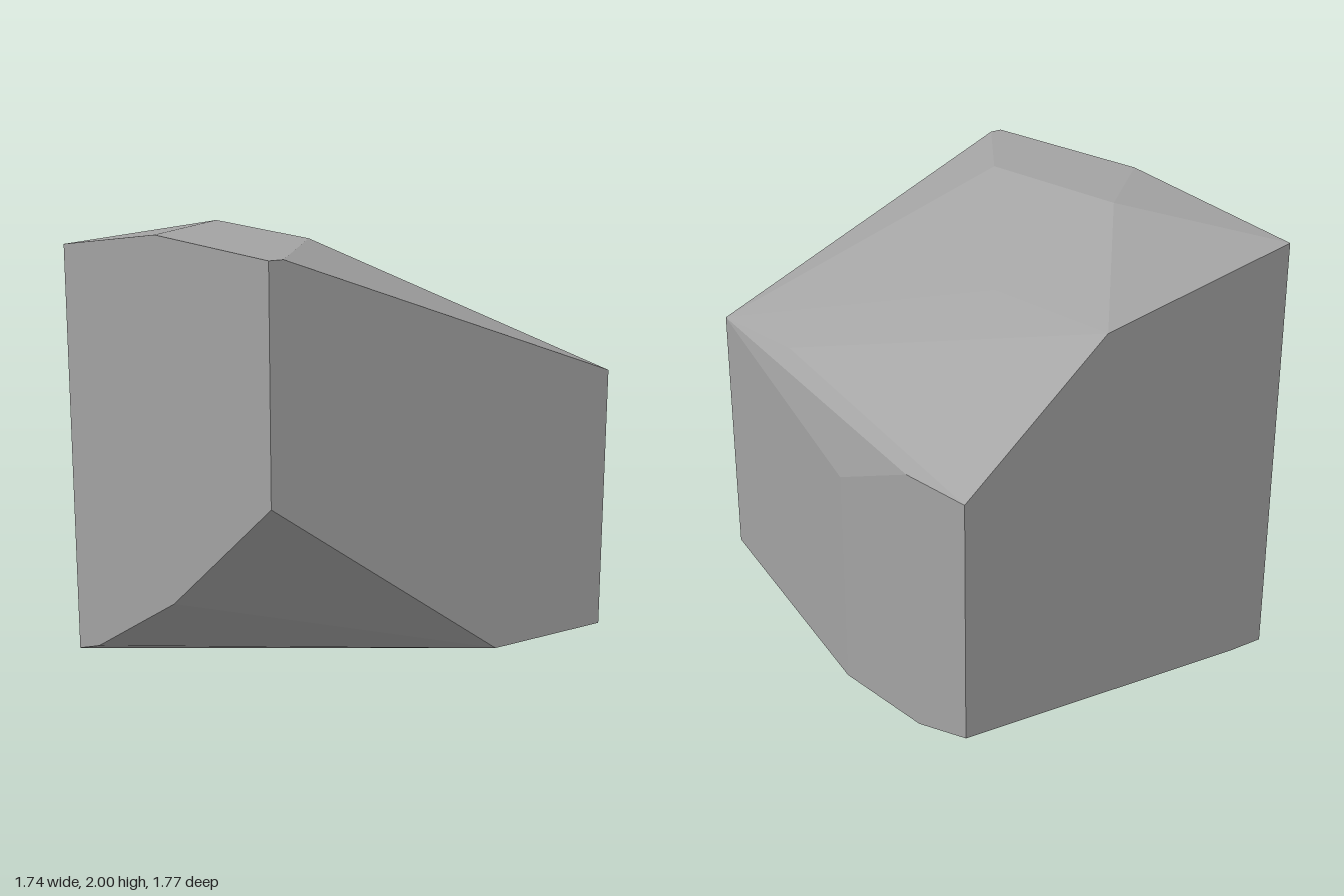
import * as THREE from 'three';
import { ConvexGeometry } from 'three/addons/geometries/ConvexGeometry.js';

// Half width and half depth of the block the rock is cut from
const W = 0.87, D = 0.885;

export function createModel() {
  const group = new THREE.Group();
  group.name = 'rock';

  const stone = new THREE.MeshStandardMaterial({ color: 0xa3a3a3 });
  stone.name = 'grey stone';

  // Corners of each cut, as [x, y, z]
  const frontFace = [
    [-W, 2, D], [-0.81, 2, D], [0.715, 1.44, D],
    [0.715, 0.355, D], [0.17, 0.355, D], [-W, 1.1, D],
  ];
  const topRidges = [
    [-W, 2, 0], [-0.42, 2, 0.42], [-0.42, 2, -0.32],
    [0.165, 1.74, -0.25], [0.715, 1.44, 0.41],
  ];
  const rightFace = [
    [W, 1.095, -0.13], [W, 1.26, -0.55],
    [W, 0.18, -0.13], [W, 0.18, -0.6],
  ];
  const backFace = [
    [-W, 1.87, -D], [0.165, 1.74, -D], [W, 1.26, -D],
    [W, 0.26, -D], [-0.68, 0.02, -D], [-W, 0, -D],
  ];
  const leftUnderside = [[-W, 0.505, 0.09], [-W, 0.08, -0.67]];

  // The faceted stone is the convex hull of its corners
  const corners = [frontFace, topRidges, rightFace, backFace, leftUnderside]
    .flat()
    .map((p) => new THREE.Vector3(...p));
  const boulder = new THREE.Mesh(new ConvexGeometry(corners), stone);
  boulder.name = 'boulder';
  group.add(boulder);

  return group;
}
